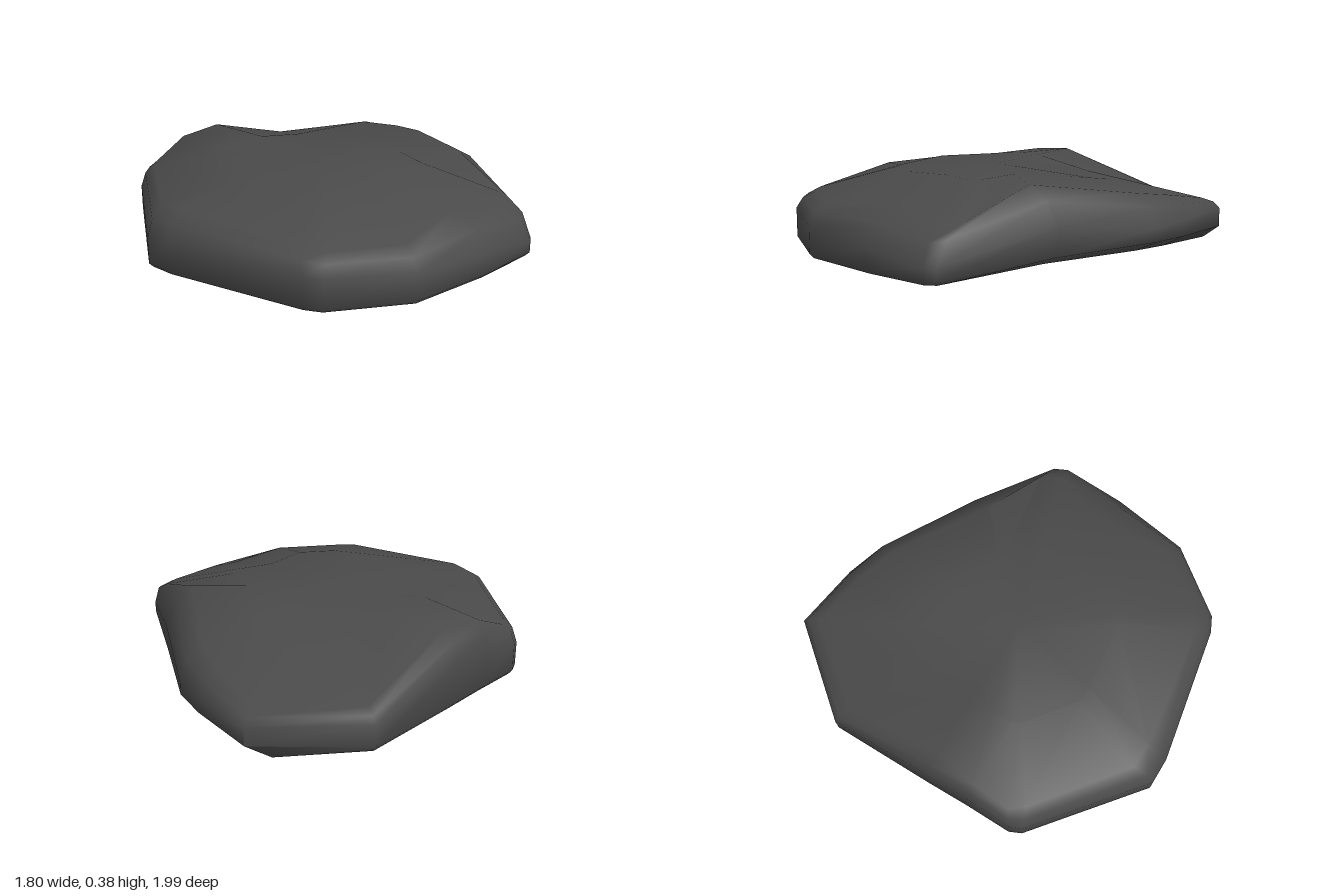
import * as THREE from 'three';
import { toCreasedNormals } from 'three/addons/utils/BufferGeometryUtils.js';

// Stations around the slab: outline x, z, wall top | shoulder x, z, y | inner height | undercut
const STATIONS = [
  [-0.08, -1, 0.14, -0.06, -0.92, 0.19, 0.31, 0.1],
  [0.48, -1, 0.17, 0.44, -0.92, 0.22, 0.305, 0.9],
  [0.67, -0.7, 0.16, 0.57, -0.66, 0.27, 0.33, 1],
  [0.75, -0.52, 0.15, 0.64, -0.46, 0.3, 0.345, 1],
  [0.82, 0, 0.2, 0.68, 0.08, 0.373, 0.375, 0.7],
  [0.9, 0.57, 0.08, 0.82, 0.42, 0.25, 0.37, 0],
  [0.88, 0.62, 0.08, 0.78, 0.53, 0.23, 0.37, 0],
  [0.6, 0.8, 0.12, 0.48, 0.62, 0.27, 0.37, 0],
  [0.22, 0.99, 0.16, 0.18, 0.89, 0.25, 0.37, 0],
  [-0.2, 0.99, 0.17, -0.17, 0.9, 0.25, 0.37, 0],
  [-0.28, 0.95, 0.17, -0.26, 0.86, 0.26, 0.37, 0],
  [-0.82, 0.48, 0.17, -0.74, 0.4, 0.3, 0.365, 0],
  [-0.9, 0.38, 0.15, -0.82, 0.3, 0.28, 0.365, 0],
  [-0.9, -0.3, 0.15, -0.83, -0.26, 0.27, 0.365, 0],
  [-0.87, -0.36, 0.17, -0.81, -0.34, 0.27, 0.37, 0],
  [-0.68, -0.51, 0.22, -0.66, -0.46, 0.355, 0.375, 0],
  [-0.5, -0.66, 0.23, -0.47, -0.57, 0.373, 0.375, 0],
];

const lerp = THREE.MathUtils.lerp;

// Rings from the underside up to the nearly flat top
const RINGS = [
  ([x, z, , , , , , u]) => [x * (0.98 - 0.25 * u), 0.003, z * 0.98],
  ([x, z, , , , , , u]) => [x, 0.025 + 0.06 * u, z],
  ([x, z, y]) => [x, y, z],
  ([x, z, y, sx, sz, sy]) => [lerp(x, sx, 0.35), lerp(y, sy, 0.65), lerp(z, sz, 0.35)],
  ([, , , sx, sz, sy]) => [sx, sy, sz],
  ([, , , sx, sz, , iy]) => [sx * 0.55, iy, sz * 0.55],
];

function rockGeometry() {
  const n = STATIONS.length;
  const positions = [];
  const index = [];
  for (const ring of RINGS) for (const s of STATIONS) positions.push(...ring(s));
  const bottom = positions.length / 3;
  positions.push(0, 0, 0, 0, 0.375, 0);
  const last = (RINGS.length - 1) * n;
  for (let i = 0; i < n; i++) {
    const j = (i + 1) % n;
    for (let r = 0; r < last; r += n) {
      index.push(r + i, r + n + i, r + j, r + j, r + n + i, r + n + j);
    }
    // Underside and top caps
    index.push(bottom, i, j, bottom + 1, last + j, last + i);
  }
  const geometry = new THREE.BufferGeometry();
  geometry.setAttribute('position', new THREE.Float32BufferAttribute(positions, 3));
  geometry.setIndex(index);
  return toCreasedNormals(geometry, 1.2);
}

export function createModel() {
  const group = new THREE.Group();
  group.name = 'flatRock';
  const stone = new THREE.MeshStandardMaterial({ color: 0x4a4a4a });
  stone.name = 'dark grey stone';
  const rock = new THREE.Mesh(rockGeometry(), stone);
  rock.name = 'rockSlab';
  group.add(rock);
  return group;
}
